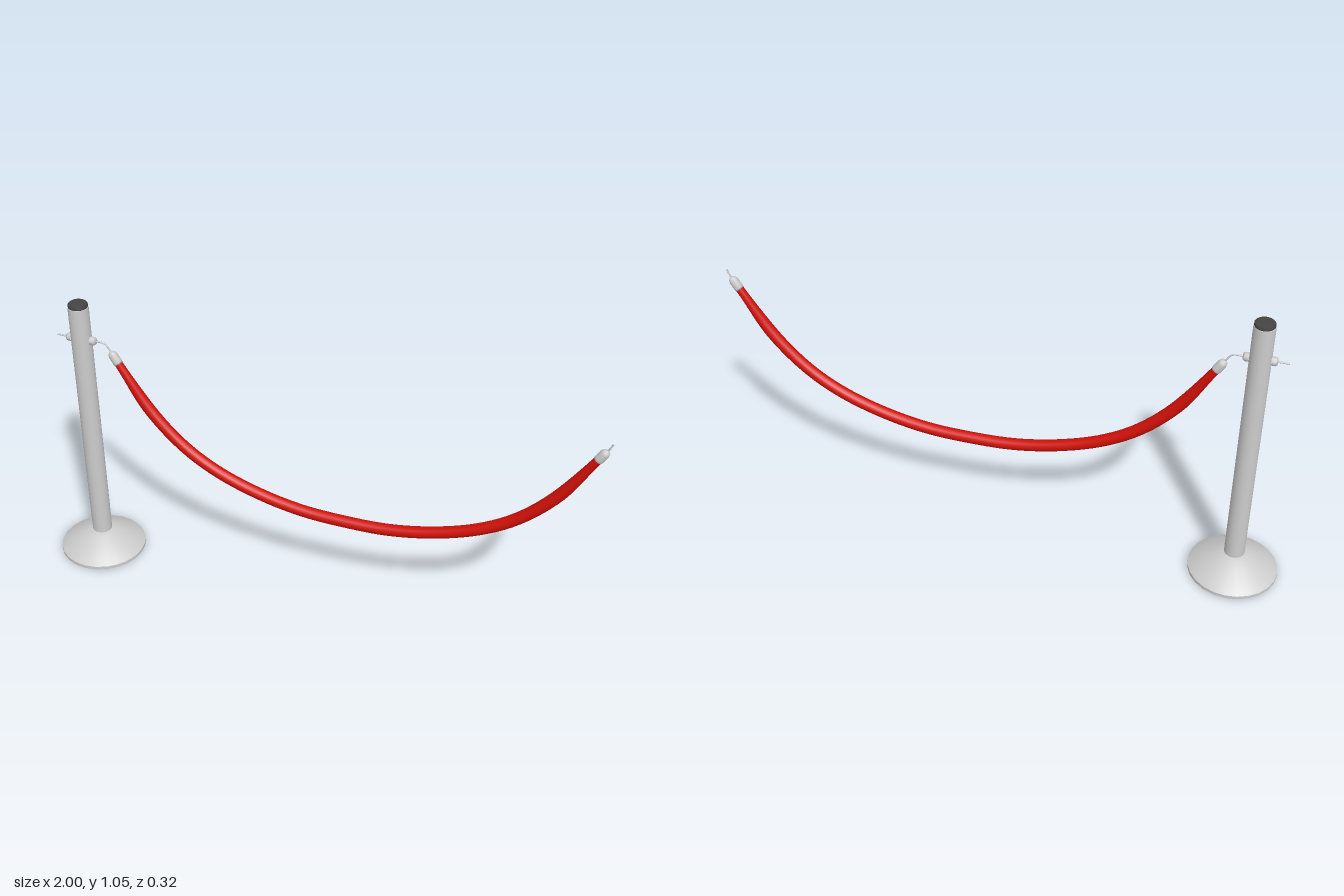
import * as THREE from 'three';

const grey = new THREE.MeshStandardMaterial({ color: 0xcccccc });
const red = new THREE.MeshStandardMaterial({ color: 0xd01008 });
const dark = new THREE.MeshStandardMaterial({ color: 0x444444 });

const POST_X = -0.842, HOOK_Y = 0.907, ROPE_X = 0.125;
const vec = (x, y) => new THREE.Vector3(x, y, 0);

export function createModel() {
  const model = new THREE.Group();
  model.name = 'ropeBarrier';
  const add = (parent, name, geometry, material, x = 0, y = 0) => {
    const mesh = new THREE.Mesh(geometry, material);
    mesh.name = name;
    mesh.position.set(x, y, 0);
    parent.add(mesh);
    return mesh;
  };
  const lathe = (points, sides) =>
    new THREE.LatheGeometry(points.map(p => new THREE.Vector2(...p)), sides);

  // Post: domed foot, round pole and dark cap
  const post = new THREE.Group();
  post.name = 'post';
  post.position.x = POST_X;
  model.add(post);
  add(post, 'footRim', new THREE.CylinderGeometry(0.158, 0.158, 0.012, 24), grey, 0, 0.006);
  add(post, 'footDome', lathe([[0.158, 0.012], [0.135, 0.029], [0.106, 0.047],
    [0.075, 0.064], [0.05, 0.076], [0.036, 0.08]], 24), grey);
  add(post, 'pole', new THREE.CylinderGeometry(0.036, 0.036, 0.957, 24), grey, 0, 0.5565);
  add(post, 'cap', lathe([[0.034, 1.035], [0.034, 1.044], [0.031, 1.047], [0, 1.047]], 24), dark);

  // Hook mounts on both sides of the pole
  for (const side of [-1, 1]) {
    const knob = add(post, 'hookMount',
      lathe([[0.015, 0], [0.015, 0.014], [0.011, 0.02], [0, 0.02]], 12), grey, side * 0.035, HOOK_Y);
    knob.rotation.z = -side * Math.PI / 2;
  }
  const stub = add(post, 'spareHook', new THREE.CylinderGeometry(0.003, 0.003, 0.045, 8), grey, -0.07, HOOK_Y);
  stub.rotation.z = Math.PI / 2;

  // Sagging rope, mirrored about its lowest point
  const rope = new THREE.Group();
  rope.name = 'rope';
  rope.position.x = ROPE_X;
  model.add(rope);
  const half = [[0.16, 0.373], [0.32, 0.405], [0.475, 0.462], [0.6, 0.54], [0.72, 0.662], [0.835, 0.84]];
  const points = [
    ...half.map(([x, y]) => vec(-x, y)).reverse(),
    vec(0, 0.366),
    ...half.map(([x, y]) => vec(x, y)),
  ];
  const curve = new THREE.CatmullRomCurve3(points);
  const steps = 64, sides = 16;
  const tube = new THREE.TubeGeometry(curve, steps, 0.021, sides);

  // Taper the rope toward both ends
  const pos = tube.attributes.position, p = new THREE.Vector3();
  for (let i = 0; i < pos.count; i++) {
    const t = Math.floor(i / (sides + 1)) / steps;
    const centre = curve.getPointAt(t);
    const k = THREE.MathUtils.smoothstep(Math.min(t, 1 - t), 0, 0.1);
    p.fromBufferAttribute(pos, i).sub(centre).multiplyScalar(0.68 + 0.32 * k).add(centre);
    pos.setXYZ(i, p.x, p.y, p.z);
  }
  add(rope, 'ropeCord', tube, red);

  // Metal end sleeves
  const sleeveShape = [[0, -0.002], [0.0155, -0.002], [0.0165, 0.004], [0.0165, 0.032],
    [0.013, 0.042], [0.006, 0.048], [0, 0.048]];
  for (const side of [-1, 1]) {
    const sleeve = add(rope, 'endSleeve', lathe(sleeveShape, 14), grey, side * 0.833, 0.837);
    sleeve.rotation.z = -side * 0.55;
  }

  // Bent wire from the pole to the rope, and the free wire at the far end
  const wire = (name, pts) => add(model, name,
    new THREE.TubeGeometry(new THREE.CatmullRomCurve3(pts), 16, 0.003, 8), grey);
  wire('hookWire', [vec(-0.79, HOOK_Y), vec(-0.762, HOOK_Y), vec(-0.75, 0.902), vec(-0.74, 0.889), vec(-0.73, 0.874)]);
  wire('freeHookWire', [vec(0.98, 0.872), vec(0.987, 0.884), vec(0.993, 0.896), vec(0.997, HOOK_Y)]);
  return model;
}
